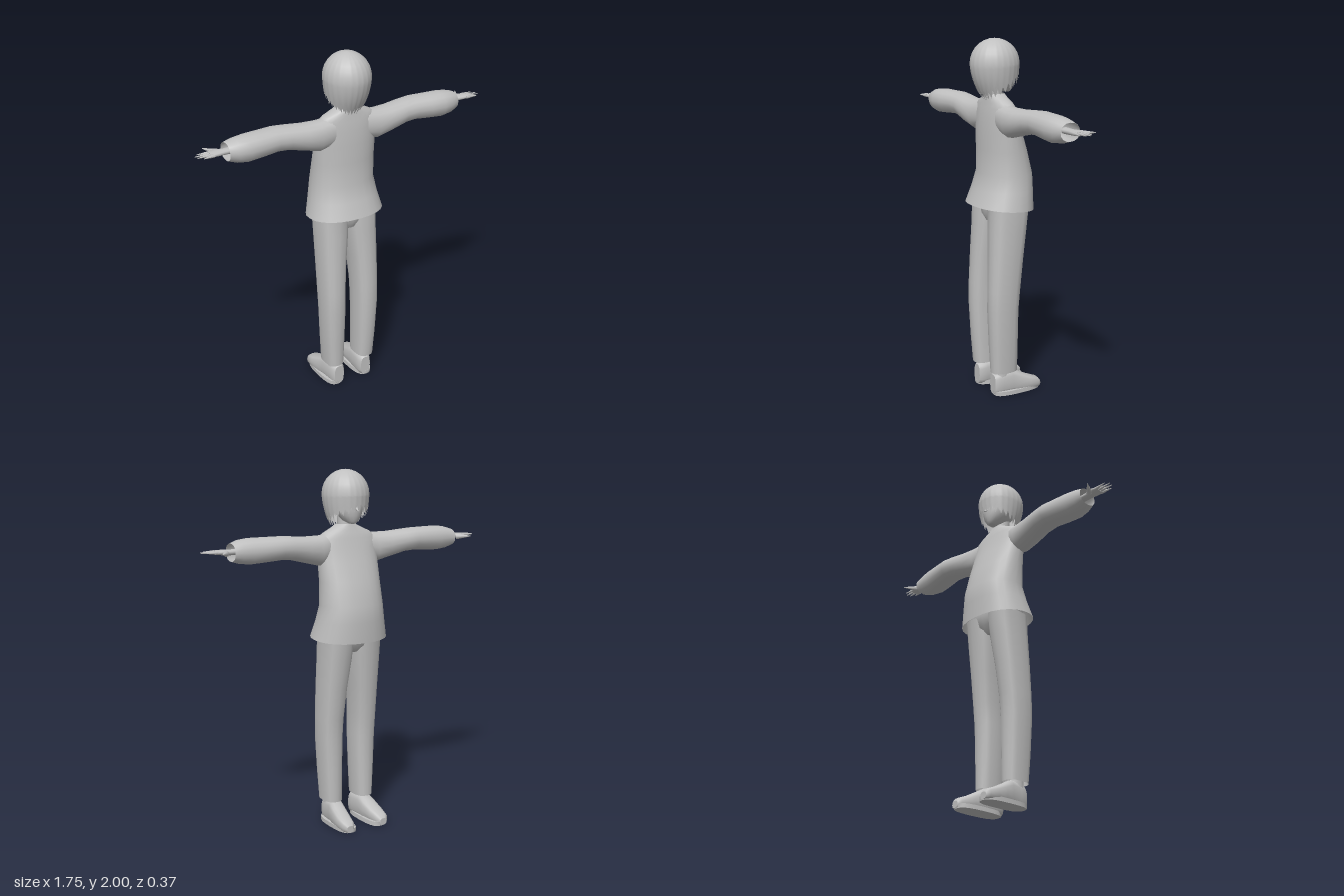
import * as THREE from 'three';
import { mergeGeometries } from 'three/addons/utils/BufferGeometryUtils.js';

const grey = new THREE.MeshStandardMaterial({ color: 0xc0c0c0, side: THREE.DoubleSide });
grey.name = 'plain grey';

// Skin over ovals along an axis. Row: [position, uMin, uMax, vMin, vMax],
// where (u, v) is (x, z) for axis y, (y, z) for axis x and (x, y) for axis z.
function loft(axis, rows, { sides = 16, power = 1, start = false, end = false } = {}) {
  const pos = [], idx = [];
  const put = (a, u, v) => pos.push(...(axis === 'y' ? [u, a, v] : axis === 'x' ? [a, u, v] : [u, v, a]));
  const bend = (c) => Math.sign(c) * Math.pow(Math.abs(c), power);
  const ring = ([a, u0, u1, v0, v1]) => {
    for (let j = 0; j < sides; j++) {
      const t = (j / sides) * Math.PI * 2;
      put(a, (u0 + u1) / 2 + bend(Math.cos(t)) * (u1 - u0) / 2, (v0 + v1) / 2 + bend(Math.sin(t)) * (v1 - v0) / 2);
    }
  };
  const tri = (a, b, c) => (axis === 'y' ? idx.push(a, b, c) : idx.push(a, c, b));
  rows.forEach(ring);
  for (let i = 0; i < rows.length - 1; i++) {
    for (let j = 0; j < sides; j++) {
      const a = i * sides + j, b = i * sides + (j + 1) % sides;
      tri(a, a + sides, b);
      tri(b, a + sides, b + sides);
    }
  }
  const cap = (row, top) => {
    const s = pos.length / 3;
    ring(row);
    put(row[0], (row[1] + row[2]) / 2, (row[3] + row[4]) / 2);
    for (let j = 0; j < sides; j++) {
      const a = s + j, b = s + (j + 1) % sides;
      top ? tri(a, s + sides, b) : tri(a, b, s + sides);
    }
  };
  if (start) cap(rows[0], false);
  if (end) cap(rows[rows.length - 1], true);
  return surface(pos, idx);
}

function surface(pos, idx) {
  const g = new THREE.BufferGeometry();
  g.setAttribute('position', new THREE.Float32BufferAttribute(pos, 3));
  g.setIndex(idx);
  g.computeVertexNormals();
  return g;
}

// Tapered spike between two points, flattened in y
function spike(from, to, radius, tip = 0.002) {
  const a = new THREE.Vector3(...from), b = new THREE.Vector3(...to);
  const g = new THREE.CylinderGeometry(tip, radius, a.distanceTo(b), 8);
  const dir = b.clone().sub(a).normalize();
  g.applyQuaternion(new THREE.Quaternion().setFromUnitVectors(new THREE.Vector3(0, 1, 0), dir));
  const mid = a.add(b).multiplyScalar(0.5);
  g.translate(mid.x, mid.y, mid.z);
  g.deleteAttribute('uv');
  return g;
}

function mirrored(g) {
  const m = g.clone().scale(-1, 1, 1), ix = m.index.array;
  for (let i = 0; i < ix.length; i += 3) [ix[i], ix[i + 1]] = [ix[i + 1], ix[i]];
  m.computeVertexNormals();
  return m;
}

// Shell of hair with a jagged hem, short over the face and long at the nape
function hairShell(scale, lift, phase) {
  const cols = 72, rows = 14, pos = [], idx = [];
  for (let i = 0; i <= rows; i++) {
    for (let j = 0; j < cols; j++) {
      const t = (j / cols) * Math.PI * 2;
      const back = (Math.sin(t) + 1) / 2;
      const jag = (j + phase) % 3 === 0 ? 0.035 : 0.008 * Math.sin(j * 2.3 + phase);
      const hem = 1.82 - 0.105 * Math.pow(back, 0.8) + lift - jag;
      const s = i / rows;
      // even angles over the dome, then straight down to the hem
      const y = s < 0.5 ? 1.865 + 0.135 * scale * Math.cos(s * Math.PI)
        : 1.865 + (hem - 1.865) * (s - 0.5) * 2;
      const drop = Math.max(0, 1.865 - y);
      const r = s < 0.5 ? Math.sin(s * Math.PI) : 1 - (1.5 + 10.5 * back) * drop * drop - 0.4 * drop;
      const groove = 1 - (j % 3 === 0 ? 0.015 : 0);
      pos.push(0.128 * scale * r * groove * Math.cos(t), y, 0.042 + 0.137 * scale * r * groove * Math.sin(t));
    }
  }
  for (let i = 0; i < rows; i++) {
    for (let j = 0; j < cols; j++) {
      const a = i * cols + j, b = i * cols + (j + 1) % cols;
      idx.push(a, b, a + cols, b, b + cols, a + cols);
    }
  }
  return surface(pos, idx);
}

export function createModel() {
  const model = new THREE.Group();
  model.name = 'standingFigure';
  const add = (name, geometry) => {
    const mesh = new THREE.Mesh(geometry, grey);
    mesh.name = name;
    model.add(mesh);
  };
  const pair = (name, geometry) => {
    add(name + 'Left', geometry);
    add(name + 'Right', mirrored(geometry));
  };

  // Head and neck, face towards -z
  add('head', loft('y', [
    [1.71, -0.018, 0.018, -0.05, -0.01], [1.725, -0.04, 0.04, -0.062, 0.04],
    [1.755, -0.065, 0.065, -0.07, 0.08], [1.79, -0.082, 0.082, -0.074, 0.12],
    [1.85, -0.095, 0.095, -0.072, 0.14], [1.92, -0.08, 0.08, -0.05, 0.12],
  ], { sides: 20, start: true, end: true }));
  add('nose', spike([0, 1.795, -0.066], [0, 1.778, -0.09], 0.012));
  add('neck', loft('y', [
    [1.6, -0.05, 0.05, -0.005, 0.1], [1.68, -0.042, 0.042, 0, 0.09], [1.77, -0.042, 0.042, 0, 0.1],
  ]));
  add('hair', hairShell(1, 0, 0));
  add('hairUnderLayer', hairShell(0.95, -0.012, 1));

  // Shirt, open at the hem, which hangs lower at the front
  const shirt = loft('y', [
    [1.08, -0.22, 0.22, -0.155, 0.183], [1.18, -0.198, 0.198, -0.156, 0.15],
    [1.27, -0.183, 0.183, -0.153, 0.122], [1.4, -0.18, 0.18, -0.115, 0.118],
    [1.5, -0.182, 0.182, -0.078, 0.114], [1.58, -0.182, 0.182, -0.05, 0.108],
    [1.63, -0.18, 0.18, -0.036, 0.1], [1.66, -0.145, 0.145, -0.025, 0.095],
    [1.685, -0.09, 0.09, -0.015, 0.092], [1.705, -0.05, 0.05, -0.008, 0.09],
  ], { sides: 24, power: 0.9 });
  const p = shirt.attributes.position;
  for (let i = 0; i < 24; i++) p.setY(i, 1.08 + 0.08 * p.getZ(i));
  shirt.computeVertexNormals();
  add('shirt', shirt);

  // Sleeves with open cuffs
  pair('sleeve', loft('x', [
    [0.1, 1.5, 1.66, -0.02, 0.1], [0.18, 1.485, 1.65, -0.035, 0.108],
    [0.26, 1.505, 1.65, -0.045, 0.11], [0.36, 1.53, 1.657, -0.056, 0.103],
    [0.43, 1.535, 1.662, -0.06, 0.102], [0.52, 1.528, 1.662, -0.053, 0.112],
    [0.6, 1.523, 1.662, -0.045, 0.116], [0.66, 1.53, 1.655, -0.037, 0.105],
    [0.708, 1.545, 1.64, -0.03, 0.085],
  ], { power: 0.9 }));

  // Hands: wrist and palm, four fingers, thumb
  const hand = [loft('x', [
    [0.66, 1.578, 1.612, 0.003, 0.05], [0.72, 1.58, 1.61, 0.002, 0.052],
    [0.76, 1.583, 1.612, -0.008, 0.062], [0.8, 1.588, 1.609, 0.002, 0.066],
  ], { sides: 12, end: true })];
  [0.855, 0.875, 0.87, 0.845].forEach((tip, i) => {
    const z = 0.01 + i * 0.016;
    hand.push(spike([0.785, 1.599, z], [tip, 1.6, z + (i - 1) * 0.006], 0.01));
  });
  hand.push(spike([0.745, 1.592, 0.005], [0.795, 1.597, -0.062], 0.017));
  pair('hand', mergeGeometries(hand.map((g) => g)));

  // Trousers
  add('trouserSeat', loft('y', [
    [1.0, -0.05, 0.05, -0.05, 0.09], [1.04, -0.12, 0.12, -0.09, 0.11],
    [1.1, -0.175, 0.175, -0.105, 0.12], [1.2, -0.16, 0.16, -0.105, 0.11],
  ], { power: 0.8, start: true }));
  pair('trouserLeg', loft('y', [
    [0.135, 0.05, 0.153, -0.033, 0.122], [0.3, 0.046, 0.163, -0.033, 0.133],
    [0.5, 0.042, 0.172, -0.034, 0.142], [0.62, 0.04, 0.174, -0.045, 0.14],
    [0.8, 0.027, 0.175, -0.066, 0.132], [0.97, 0.008, 0.175, -0.09, 0.124],
    [1.1, 0, 0.175, -0.106, 0.12],
  ], { power: 0.75 }));

  // Ankles and shoes, toes towards -z and turned slightly out
  pair('ankle', loft('y', [[0.08, 0.065, 0.135, 0.01, 0.1], [0.2, 0.07, 0.13, 0.015, 0.095]]));
  pair('shoe', loft('z', [
    [-0.184, 0.09, 0.132, 0.004, 0.042], [-0.165, 0.074, 0.15, 0.002, 0.062],
    [-0.11, 0.062, 0.156, 0.002, 0.084], [-0.05, 0.054, 0.152, 0, 0.115],
    [0, 0.05, 0.143, 0, 0.142], [0.06, 0.047, 0.138, 0, 0.138],
    [0.095, 0.05, 0.132, 0, 0.13], [0.11, 0.06, 0.122, 0.004, 0.12],
  ], { power: 0.7, start: true, end: true }));
  pair('shoeSole', loft('y', [
    [0, 0.043, 0.155, -0.182, 0.11], [0.024, 0.045, 0.155, -0.184, 0.112],
  ], { sides: 20, power: 0.7, start: true, end: true }));
  return model;
}
